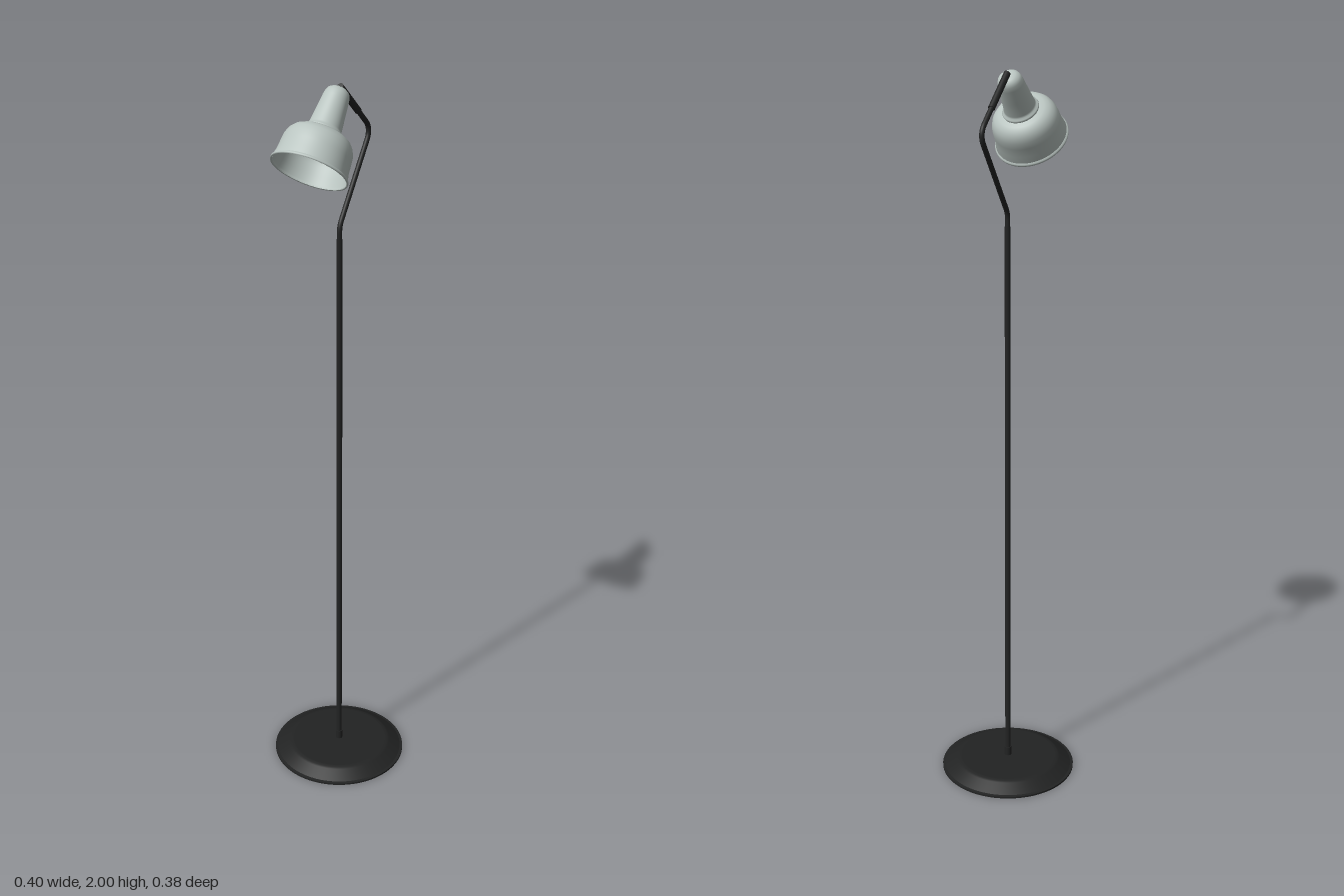
import * as THREE from 'three';

const UP = new THREE.Vector3(0, 1, 0);
const SWING = Math.PI / 6; // the arm and shade lie in a plane turned 30 degrees about the pole

// Point in the arm's plane: d outward from the pole, y up
const inPlane = (d, y) => new THREE.Vector3(d * Math.cos(SWING), y, -d * Math.sin(SWING));

const black = new THREE.MeshStandardMaterial({ color: 0x222323 });
const enamel = new THREE.MeshStandardMaterial({ color: 0xb9c4c0, side: THREE.DoubleSide });

function part(name, geometry, material = black) {
  const mesh = new THREE.Mesh(geometry, material);
  mesh.name = name;
  return mesh;
}

// Smooth lathe through several runs of points, with a crease between the runs
function lathe(name, runs, material) {
  const group = new THREE.Group();
  group.name = name;
  runs.forEach((run, i) => group.add(part(`${name}Surface${i + 1}`,
    new THREE.LatheGeometry(run.map(([r, y]) => new THREE.Vector2(r, y)), 64), material)));
  return group;
}

// Straight round rod between two points
function rod(name, a, b, radius) {
  const mesh = part(name, new THREE.CylinderGeometry(radius, radius, a.distanceTo(b), 20));
  mesh.position.copy(a).lerp(b, 0.5);
  mesh.quaternion.setFromUnitVectors(UP, b.clone().sub(a).normalize());
  return mesh;
}

// Polyline with each inner corner rounded
function roundedPath(points, cut) {
  const path = new THREE.CurvePath();
  let from = points[0];
  for (let i = 1; i < points.length - 1; i++) {
    const p = points[i];
    const toward = q => p.clone().add(q.clone().sub(p).setLength(cut[i - 1]));
    const a = toward(points[i - 1]), b = toward(points[i + 1]);
    path.add(new THREE.LineCurve3(from, a));
    path.add(new THREE.QuadraticBezierCurve3(a, p, b));
    from = b;
  }
  path.add(new THREE.LineCurve3(from, points[points.length - 1]));
  return path;
}

export function createModel() {
  const lamp = new THREE.Group();
  lamp.name = 'floorLamp';
  lamp.position.x = 0.008;

  // Pressed dish base with a thin lip, hollow underneath
  lamp.add(lathe('base', [
    [[0, 0.024], [0.142, 0.024]],
    [[0.142, 0.024], [0.178, 0.003], [0.181, 0]],
    [[0.181, 0], [0.192, 0]],
    [[0.192, 0], [0.192, 0.005]],
    [[0.192, 0.005], [0.184, 0.006]],
    [[0.184, 0.006], [0.152, 0.026], [0.146, 0.029], [0.138, 0.03]],
    [[0.138, 0.03], [0, 0.03]],
  ], black));

  // Pole and its collar
  lamp.add(rod('poleCollar', inPlane(0, 0.025), inPlane(0, 0.056), 0.01));
  lamp.add(rod('pole', inPlane(0, 0.03), inPlane(0, 1.6), 0.008));

  // Bent arm
  const elbow = inPlane(0.155, 1.855);
  const tip = inPlane(0.002, 1.989);
  const path = roundedPath([inPlane(0, 1.59), inPlane(0, 1.635), elbow, tip], [0.018, 0.035]);
  lamp.add(part('arm', new THREE.TubeGeometry(path, 140, 0.0068, 16)));

  // Thicker sleeve at the arm's end, with the pin that holds the shade
  lamp.add(rod('armSleeve', tip.clone().lerp(elbow, 0.58), tip, 0.009));
  lamp.add(rod('shadePin', tip, inPlane(-0.008, 1.975), 0.003));

  // Bell shade: profile from the mouth up to the rounded cap
  const shade = lathe('shade', [
    [[0.097, -0.219], [0.1, -0.222], [0.101, -0.225], [0.1, -0.228], [0.097, -0.227]],
    [[0.096, -0.225], [0.097, -0.219], [0.093, -0.2], [0.091, -0.175], [0.089, -0.157],
      [0.083, -0.142], [0.074, -0.131], [0.062, -0.124], [0.049, -0.121]],
    [[0.049, -0.121], [0.0495, -0.118], [0.048, -0.115], [0.044, -0.112], [0.042, -0.107],
      [0.038, -0.07], [0.034, -0.03], [0.032, -0.018], [0.028, -0.009], [0.02, -0.003],
      [0.01, 0], [0, 0]],
  ], enamel);
  shade.position.copy(inPlane(0, 1.985));
  const tilt = THREE.MathUtils.degToRad(39.5);
  shade.quaternion.setFromUnitVectors(UP.clone().negate(),
    inPlane(-Math.sin(tilt), -Math.cos(tilt)));
  lamp.add(shade);

  const model = new THREE.Group();
  model.add(lamp);
  return model;
}
